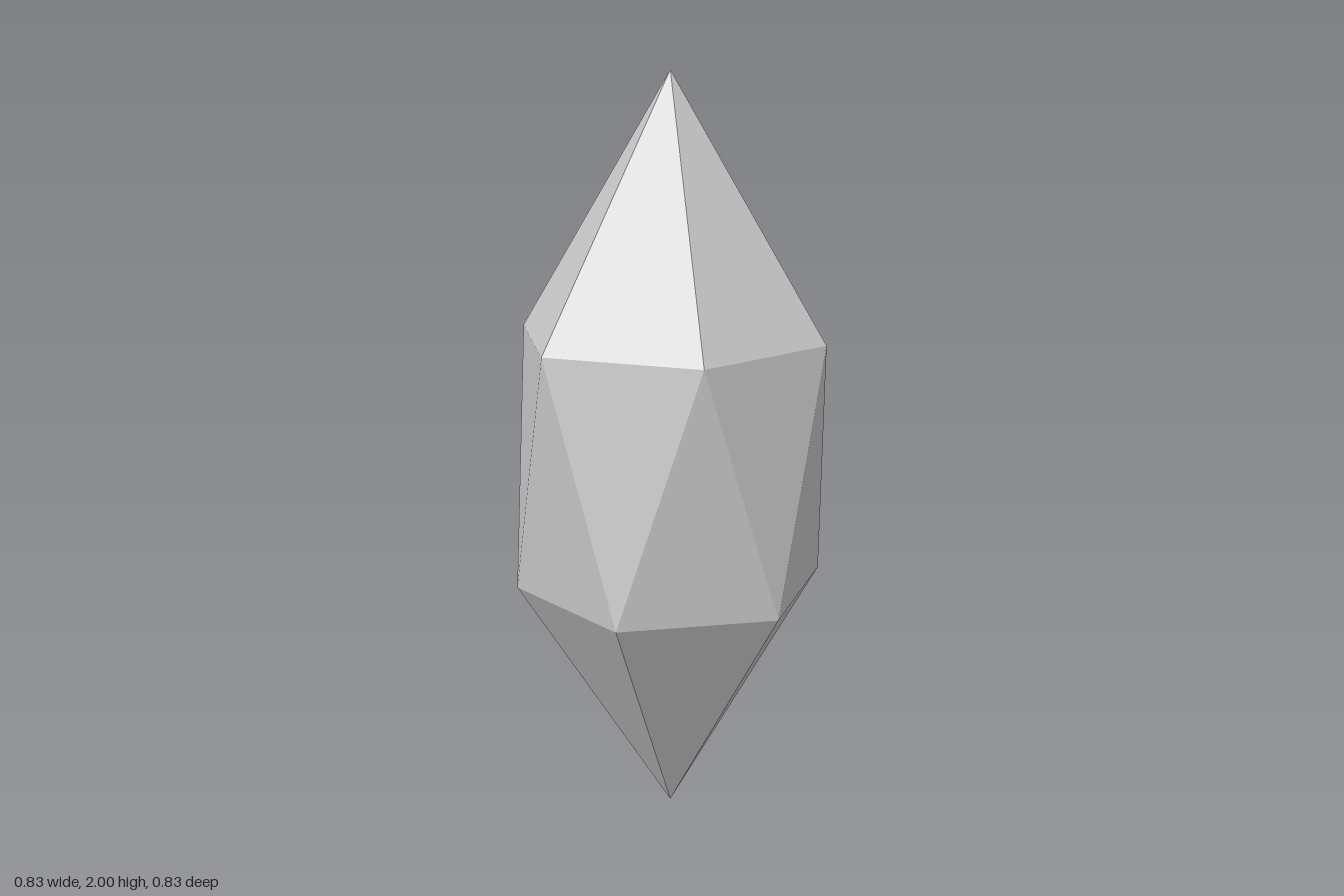
import * as THREE from 'three';

const SIDES = 6, RADIUS = 0.414, HEIGHT = 2;

// Ring of corners at height y, turned by a fraction of one side
function ring(y, turn) {
  return Array.from({ length: SIDES }, (_, i) => {
    const a = ((i + turn) / SIDES) * Math.PI * 2;
    return new THREE.Vector3(RADIUS * Math.cos(a), y, RADIUS * Math.sin(a));
  });
}

export function createModel() {
  const group = new THREE.Group();
  group.name = 'crystal';

  // Two points and two staggered hexagonal rings
  const tip = new THREE.Vector3(0, HEIGHT, 0);
  const base = new THREE.Vector3(0, 0, 0);
  const upper = ring(HEIGHT * 2 / 3, 0);
  const lower = ring(HEIGHT / 3, 0.5);

  const corners = [];
  for (let i = 0; i < SIDES; i++) {
    const j = (i + 1) % SIDES;
    corners.push(
      tip, upper[j], upper[i],        // top point
      upper[i], upper[j], lower[i],   // belt, pointing down
      lower[i], upper[j], lower[j],   // belt, pointing up
      base, lower[i], lower[j]        // bottom point
    );
  }
  const geometry = new THREE.BufferGeometry().setFromPoints(corners);
  geometry.computeVertexNormals();

  const gem = new THREE.Mesh(
    geometry,
    new THREE.MeshStandardMaterial({ color: 0xcccccc, flatShading: true })
  );
  gem.name = 'facetedGem';
  group.add(gem);
  return group;
}
